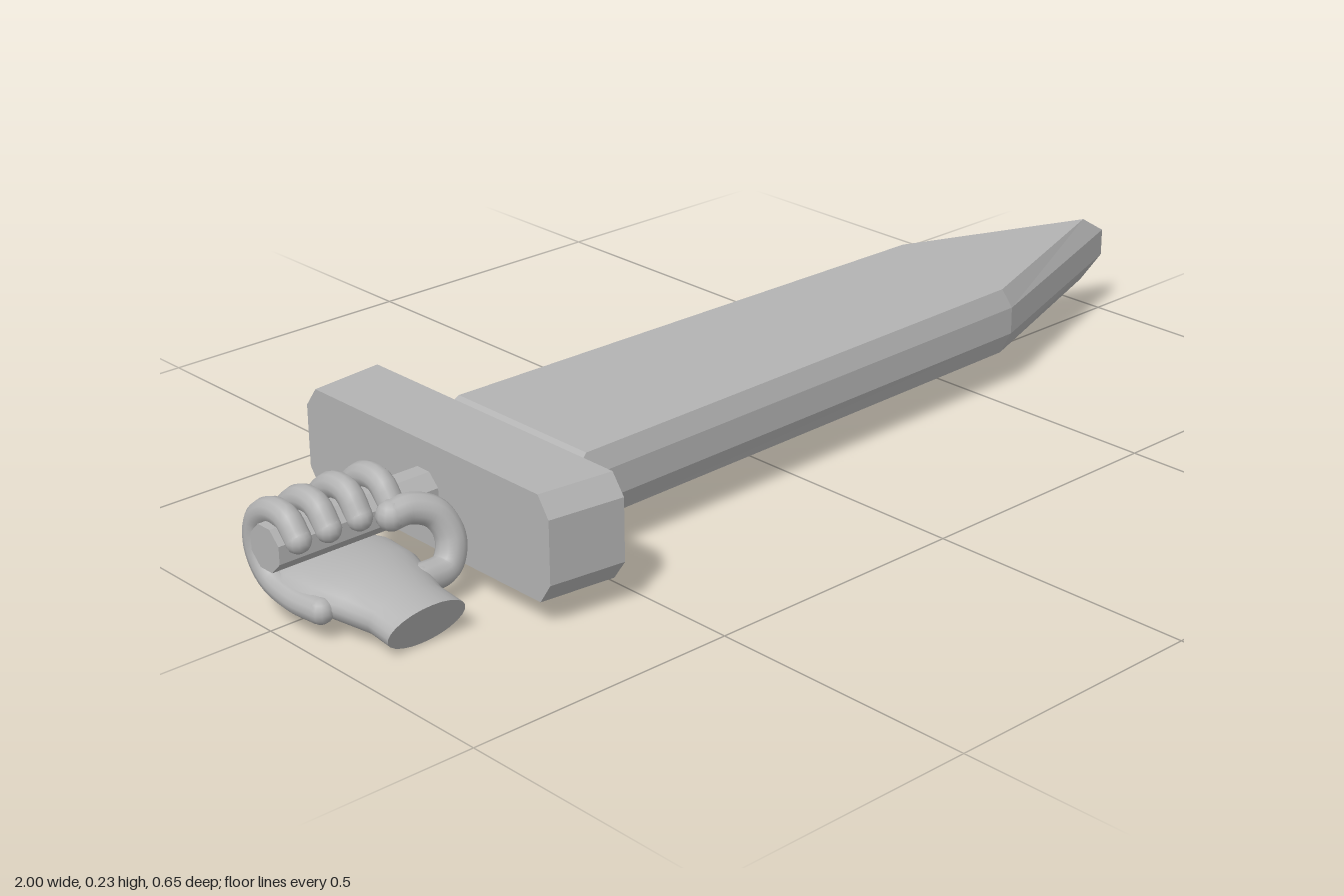
import * as THREE from 'three';

const steel = new THREE.MeshStandardMaterial({ color: 0xb3b3b3 });
steel.name = 'plain grey';

// Joins equal-length rings of points and closes both ends with fans.
function loft(name, rings, flat) {
  const pos = [], idx = [], n = rings[0].length;
  rings.forEach(r => r.forEach(p => pos.push(...p)));
  for (let k = 0; k < rings.length - 1; k++) {
    for (let i = 0; i < n; i++) {
      const a = k * n + i, b = k * n + (i + 1) % n;
      idx.push(a, b, b + n, a, b + n, a + n);
    }
  }
  const cap = (ring, last) => {
    const s = pos.length / 3;
    const mid = [0, 1, 2].map(c => ring.reduce((t, p) => t + p[c], 0) / n);
    ring.forEach(p => pos.push(...p));
    pos.push(...mid);
    for (let i = 0; i < n; i++) {
      const a = s + i, b = s + (i + 1) % n;
      if (last) idx.push(a, b, s + n); else idx.push(b, a, s + n);
    }
  };
  cap(rings[0], false);
  cap(rings[rings.length - 1], true);
  let geo = new THREE.BufferGeometry();
  geo.setAttribute('position', new THREE.Float32BufferAttribute(pos, 3));
  geo.setIndex(idx);
  if (flat) geo = geo.toNonIndexed();
  geo.computeVertexNormals();
  const mesh = new THREE.Mesh(geo, steel);
  mesh.name = name;
  return mesh;
}

// A round finger: a tube along a curve with rounded ends.
function finger(name, points, radius) {
  const group = new THREE.Group();
  group.name = name;
  const pts = points.map(p => new THREE.Vector3(...p));
  const curve = new THREE.CatmullRomCurve3(pts);
  group.add(new THREE.Mesh(new THREE.TubeGeometry(curve, 32, radius, 12), steel));
  for (const p of [pts[0], pts[pts.length - 1]]) {
    const tip = new THREE.Mesh(new THREE.SphereGeometry(radius, 12, 8), steel);
    tip.position.copy(p);
    group.add(tip);
  }
  return group;
}

export function createModel() {
  const model = new THREE.Group();
  model.name = 'swordInHand';

  // Blade: broad flat faces with bevelled edges all round
  const outer = [[-0.54, 0.182], [0.555, 0.156], [1, 0], [0.605, -0.156], [-0.54, -0.17]];
  const inner = [[-0.49, 0.168], [0.54, 0.144], [0.94, 0], [0.58, -0.144], [-0.49, -0.157]];
  const layer = (outline, y) => outline.map(([x, z]) => [x, y, z]);
  model.add(loft('blade', [
    layer(inner, 0.08), layer(outer, 0.117), layer(outer, 0.168), layer(inner, 0.205),
  ], true));

  // Crossguard: a bar with chamfered ends, slightly longer toward the blade
  const guardRing = (x, s) => [
    [0.05, -0.3], [0.235, -0.3], [0.199, -0.328], [0.199, 0.326], [0.235, 0.3], [0.05, 0.3], [0.087, 0.326], [0.087, -0.328],
  ].sort((a, b) => Math.atan2(a[1], a[0] - 0.143) - Math.atan2(b[1], b[0] - 0.143))
    .map(([y, z]) => [x, y, z * s]);
  model.add(loft('crossguard', [guardRing(-0.69, 0.95), guardRing(-0.55, 1)], true));

  // Grip: eight-sided rod
  const gripGeo = new THREE.CylinderGeometry(0.04, 0.04, 0.32, 8).toNonIndexed();
  gripGeo.rotateY(Math.PI / 8).rotateZ(Math.PI / 2);
  gripGeo.computeVertexNormals();
  const grip = new THREE.Mesh(gripGeo, steel);
  grip.name = 'grip';
  grip.position.set(-0.84, 0.147, 0);
  model.add(grip);

  const hand = new THREE.Group();
  hand.name = 'hand';
  model.add(hand);

  // Palm: oval sections from the slanted wrist to the knuckles
  const sections = [ // z, centre x, half width, bottom y, top y, slant
    [0.21, -0.855, 0.075, 0.004, 0.082, 0.016],
    [0.16, -0.856, 0.074, 0.009, 0.09, 0.01],
    [0.11, -0.858, 0.09, 0.014, 0.1, 0],
    [0.06, -0.862, 0.108, 0.023, 0.106, 0],
    [0.0, -0.868, 0.112, 0.036, 0.108, 0],
    [-0.035, -0.87, 0.1, 0.05, 0.102, 0],
    [-0.05, -0.87, 0.085, 0.064, 0.094, 0],
  ];
  hand.add(loft('palm', sections.map(([z, cx, w, y0, y1, slant]) =>
    Array.from({ length: 24 }, (_, i) => {
      const a = i / 24 * Math.PI * 2;
      return [cx + w * Math.cos(a), (y0 + y1) / 2 - (y1 - y0) / 2 * Math.sin(a), z - slant * Math.sin(a)];
    })), false));

  // Four fingers wrapping under, behind and over the grip
  [-0.967, -0.91, -0.85, -0.787].forEach((x, i) => {
    const mid = x * 0.92 - 0.07;
    const lift = [0, 0.003, 0.006, 0.004][i];
    hand.add(finger('finger' + (i + 1), [
      [mid, 0.055, 0.08], [x, 0.058, 0.02], [x, 0.075, -0.04], [x, 0.115, -0.069],
      [x, 0.165, -0.064], [x, 0.194 + lift, -0.025], [x, 0.193 + lift, 0.015], [x, 0.165, 0.042],
    ], 0.022));
  });

  // Thumb curling up in front of the grip
  hand.add(finger('thumb', [
    [-0.79, 0.06, 0.11], [-0.735, 0.065, 0.108], [-0.716, 0.105, 0.098],
    [-0.73, 0.146, 0.08], [-0.768, 0.162, 0.064], [-0.8, 0.158, 0.058],
  ], 0.026));

  return model;
}
